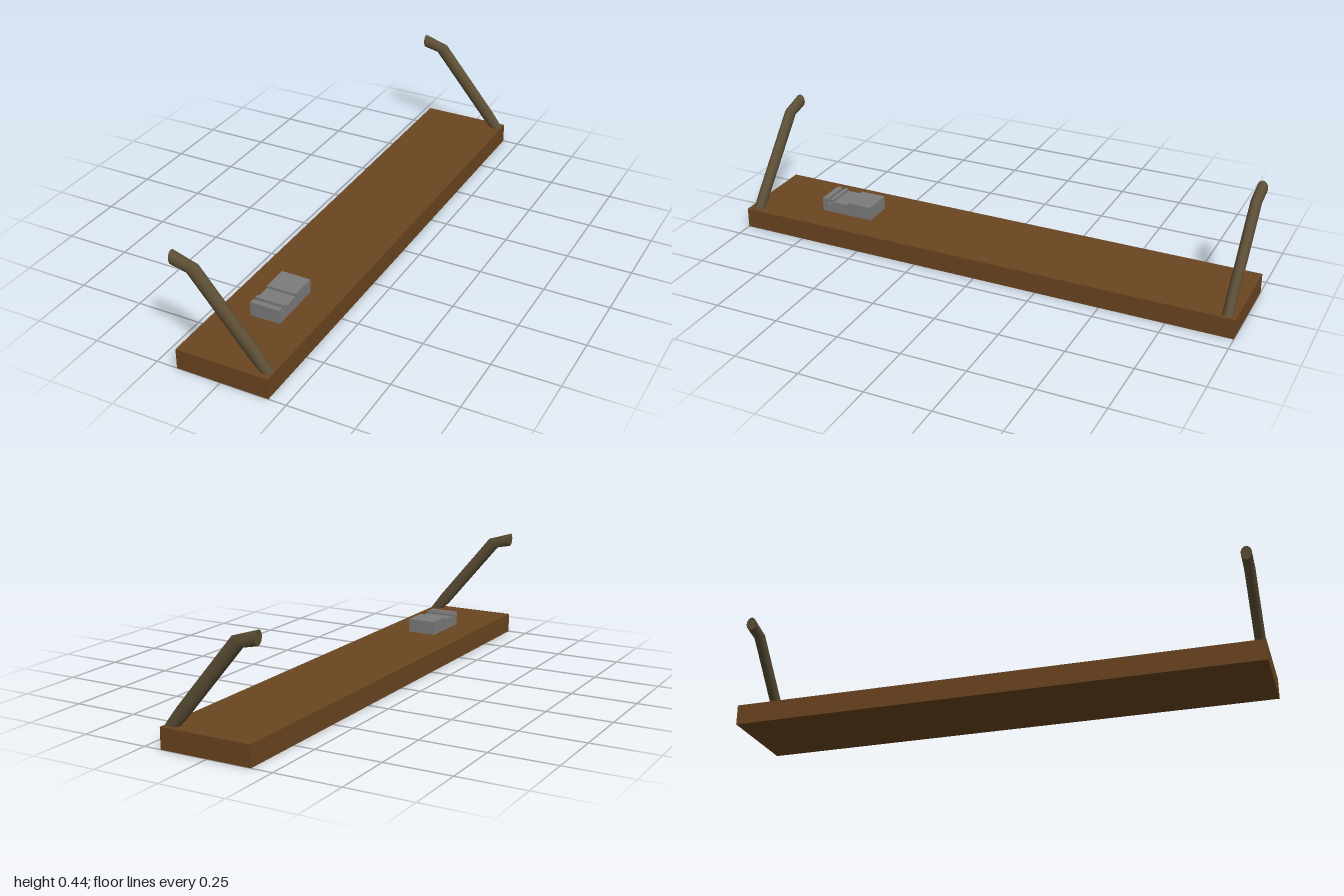
import * as THREE from 'three';

const wood = new THREE.MeshStandardMaterial({ color: 0x6b4520 });
const bracketMat = new THREE.MeshStandardMaterial({ color: 0x5c4e35 });
const metal = new THREE.MeshStandardMaterial({ color: 0x7c7c7c });

// Arm stations: outer edge (x, y) and inner edge (x, y), from free end to board
const STATIONS = [
  [-0.185, 0.441, -0.183, 0.388],
  [-0.086, 0.41, -0.126, 0.376],
  [0.136, 0.145, 0.1, 0.108],
  [0.184, 0.081, 0.13, 0.078],
];

// Bent round bar with capped ends, lofted through oval rings
function armGeometry(halfWidth = 0.02, sides = 20) {
  const pos = [], index = [];
  const addRing = ([ox, oy, ix, iy]) => {
    const first = pos.length / 3;
    for (let j = 0; j < sides; j++) {
      const a = (j / sides) * Math.PI * 2, c = Math.cos(a) / 2;
      pos.push((ox + ix) / 2 + (ox - ix) * c, (oy + iy) / 2 + (oy - iy) * c, halfWidth * Math.sin(a));
    }
    return first;
  };
  const rings = STATIONS.map(addRing);
  for (let i = 0; i < rings.length - 1; i++) {
    for (let j = 0; j < sides; j++) {
      const k = (j + 1) % sides, r = rings[i], s = rings[i + 1];
      index.push(r + j, r + k, s + j, r + k, s + k, s + j);
    }
  }
  // End caps on their own vertices, for a sharp rim
  const start = addRing(STATIONS[0]), end = addRing(STATIONS[STATIONS.length - 1]);
  for (let j = 1; j < sides - 1; j++) {
    index.push(start, start + j + 1, start + j, end, end + j, end + j + 1);
  }
  const geo = new THREE.BufferGeometry();
  geo.setAttribute('position', new THREE.Float32BufferAttribute(pos, 3));
  geo.setIndex(index);
  geo.computeVertexNormals();
  return geo;
}

// Block with a shallow recess and a narrow slot, side profile in (z, y)
function blockGeometry() {
  const profile = [
    [0.505, 0.078], [0.72, 0.078], [0.72, 0.132], [0.699, 0.132], [0.699, 0.111],
    [0.685, 0.111], [0.685, 0.132], [0.671, 0.132], [0.671, 0.122], [0.608, 0.122],
    [0.608, 0.132], [0.505, 0.132],
  ];
  const shape = new THREE.Shape(profile.map(([z, y]) => new THREE.Vector2(z, y)));
  const geo = new THREE.ExtrudeGeometry(shape, { depth: 0.115, bevelEnabled: false });
  return geo.rotateY(-Math.PI / 2).translate(0.064, 0, 0);
}

export function createModel() {
  const model = new THREE.Group();
  const add = (name, geo, mat) => {
    const mesh = new THREE.Mesh(geo, mat);
    mesh.name = name;
    model.add(mesh);
    return mesh;
  };

  // Long board
  add('board', new THREE.BoxGeometry(0.354, 0.078, 2), wood).position.set(0.007, 0.039, 0);

  // One arm near each end
  const arm = armGeometry();
  add('frontArm', arm, bracketMat).position.z = 0.96;
  add('backArm', arm, bracketMat).position.z = -0.966;

  // Small slotted block resting on the board
  add('slottedBlock', blockGeometry(), metal);

  return model;
}
